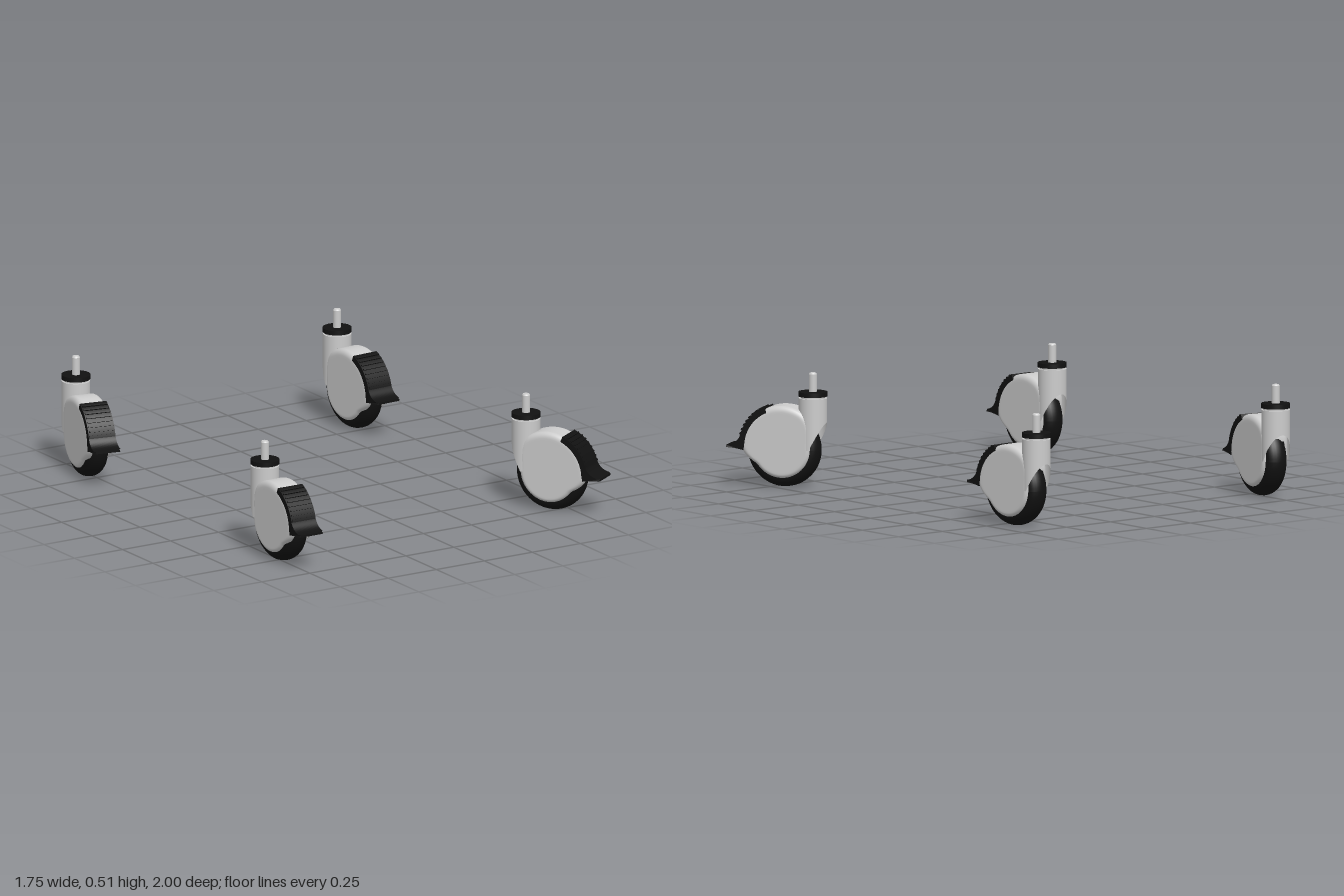
import * as THREE from 'three';

const rad = THREE.MathUtils.degToRad;
const grey = new THREE.MeshStandardMaterial({ color: 0xcccccc, side: THREE.DoubleSide });
const black = new THREE.MeshStandardMaterial({ color: 0x111111, side: THREE.DoubleSide });
const WHEEL_Z = 0.13, HUB_Y = 0.175, HOOD_R = 0.187, HALF_W = 0.0625;

function add(group, name, geometry, material, y = 0) {
  const mesh = new THREE.Mesh(geometry, material);
  mesh.name = name;
  mesh.position.y = y;
  group.add(mesh);
  return mesh;
}

// Housing radius by angle (0 = forward, 90 = up): large hood above, smaller hub below
function hoodRadius(deg) {
  const s = THREE.MathUtils.smoothstep;
  const full = deg >= 0 ? 1 - s(deg, 120, 175) : s(deg, -38, 4);
  return 0.135 + (HOOD_R - 0.135) * full;
}

// Revolve [radius, x] points around the axle; optionally follow the housing outline
function aroundAxle(points, centreY, fromDeg, toDeg, followHood) {
  const g = new THREE.LatheGeometry(points.map(p => new THREE.Vector2(p[0], p[1])),
    72, rad(-toDeg), rad(toDeg - fromDeg));
  const pos = g.attributes.position;
  for (let i = 0; i < pos.count; i++) {
    const y = -pos.getX(i), z = pos.getZ(i);
    const deg = THREE.MathUtils.radToDeg(Math.atan2(y, z));
    const k = followHood ? hoodRadius(deg) / HOOD_R : 1;
    pos.setXYZ(i, pos.getY(i), centreY + y * k, WHEEL_Z + z * k);
  }
  g.computeVertexNormals();
  return g;
}

function sideProfile(side) {
  const pts = [[0.0001, HALF_W], [0.15, HALF_W], [0.16, HALF_W]];
  for (let i = 1; i <= 6; i++) {
    const a = rad(i * 15);
    pts.push([0.16 + 0.027 * Math.sin(a), 0.04 + 0.0225 * Math.cos(a)]);
  }
  return side > 0 ? pts.reverse() : pts.map(p => [p[0], -p[1]]);
}

function tyreProfile() {
  const pts = [[0.0001, -0.05], [0.11, -0.052]];
  for (let i = 0; i <= 12; i++) {
    const a = rad(-90 + i * 15);
    pts.push([0.125 + 0.043 * Math.cos(a), 0.052 * Math.sin(a)]);
  }
  pts.push([0.11, 0.052], [0.0001, 0.05]);
  return pts;
}

// Swivel neck whose lower edge is cut on a slant, leaving an arch over the tyre
function neckGeometry() {
  const g = new THREE.CylinderGeometry(0.063, 0.063, 1, 48, 1, true);
  const pos = g.attributes.position;
  for (let i = 0; i < pos.count; i++) {
    const cut = Math.max(0.17, 0.29 - (pos.getZ(i) + 0.063) * 1.9);
    pos.setY(i, pos.getY(i) > 0 ? 0.398 : cut);
  }
  return g;
}

// Curved brake pedal with a flared toe lip
function pedalGeometry() {
  const s = new THREE.Shape();
  s.absarc(WHEEL_Z, HUB_Y, 0.194, rad(67), rad(14), true);
  s.quadraticCurveTo(0.335, 0.185, 0.385, 0.179);
  s.lineTo(0.385, 0.17);
  s.quadraticCurveTo(0.33, 0.168, 0.302, 0.16);
  s.absarc(WHEEL_Z, HUB_Y, 0.168, rad(4), rad(67), false);
  const g = new THREE.ExtrudeGeometry(s, { depth: 0.126, bevelEnabled: false, curveSegments: 20 });
  g.translate(0, 0, -0.063).rotateY(-Math.PI / 2);
  const pos = g.attributes.position;
  for (let i = 0; i < pos.count; i++)
    if (pos.getZ(i) > 0.38) pos.setX(i, pos.getX(i) * 0.88);
  g.computeVertexNormals();
  return g;
}

function createCaster() {
  const caster = new THREE.Group();

  // Wheel and housing
  add(caster, 'tyre', aroundAxle(tyreProfile(), 0.168, -180, 180, false), black);
  for (const side of [1, -1])
    add(caster, side > 0 ? 'leftSideCover' : 'rightSideCover',
      aroundAxle(sideProfile(side), HUB_Y, -180, 180, true), grey);
  add(caster, 'hoodCrown', aroundAxle([[HOOD_R, -0.041], [HOOD_R, 0.041]], HUB_Y, 2, 150, true), grey);

  // Swivel neck, cap and threaded stem
  add(caster, 'neck', neckGeometry(), grey);
  add(caster, 'neckTop', new THREE.CylinderGeometry(0.063, 0.063, 0.004, 48), grey, 0.396);
  add(caster, 'bearingRing', new THREE.CylinderGeometry(0.055, 0.055, 0.012, 48), grey, 0.402);
  add(caster, 'swivelCap', new THREE.CylinderGeometry(0.064, 0.064, 0.02, 48), black, 0.416);
  add(caster, 'stem', new THREE.CylinderGeometry(0.018, 0.018, 0.08, 24), grey, 0.464);
  add(caster, 'stemTip', new THREE.CylinderGeometry(0.014, 0.018, 0.006, 24), grey, 0.507);

  // Brake pedal with grip ridges
  add(caster, 'brakePedal', pedalGeometry(), black);
  for (let i = 0; i < 8; i++) {
    const a = rad(17 + i * 6.2);
    const ridge = add(caster, 'pedalRidge', new THREE.BoxGeometry(0.118, 0.007, 0.012), black);
    ridge.position.set(0, HUB_Y + 0.194 * Math.sin(a), WHEEL_Z + 0.194 * Math.cos(a));
    ridge.rotation.x = -a;
  }
  return caster;
}

export function createModel() {
  const model = new THREE.Group();
  model.name = 'casterSet';
  // Name, x, z and swivel angle of each caster
  const places = [
    ['frontRightCaster', -0.74, 0.615, 0],
    ['frontLeftCaster', 0.62, 0.615, 32.5],
    ['backRightCaster', -0.74, -0.937, -11],
    ['backLeftCaster', 0.62, -0.937, 4],
  ];
  for (const [name, x, z, swivel] of places) {
    const caster = createCaster();
    caster.name = name;
    caster.position.set(x, 0, z);
    caster.rotation.y = rad(swivel);
    model.add(caster);
  }
  return model;
}
